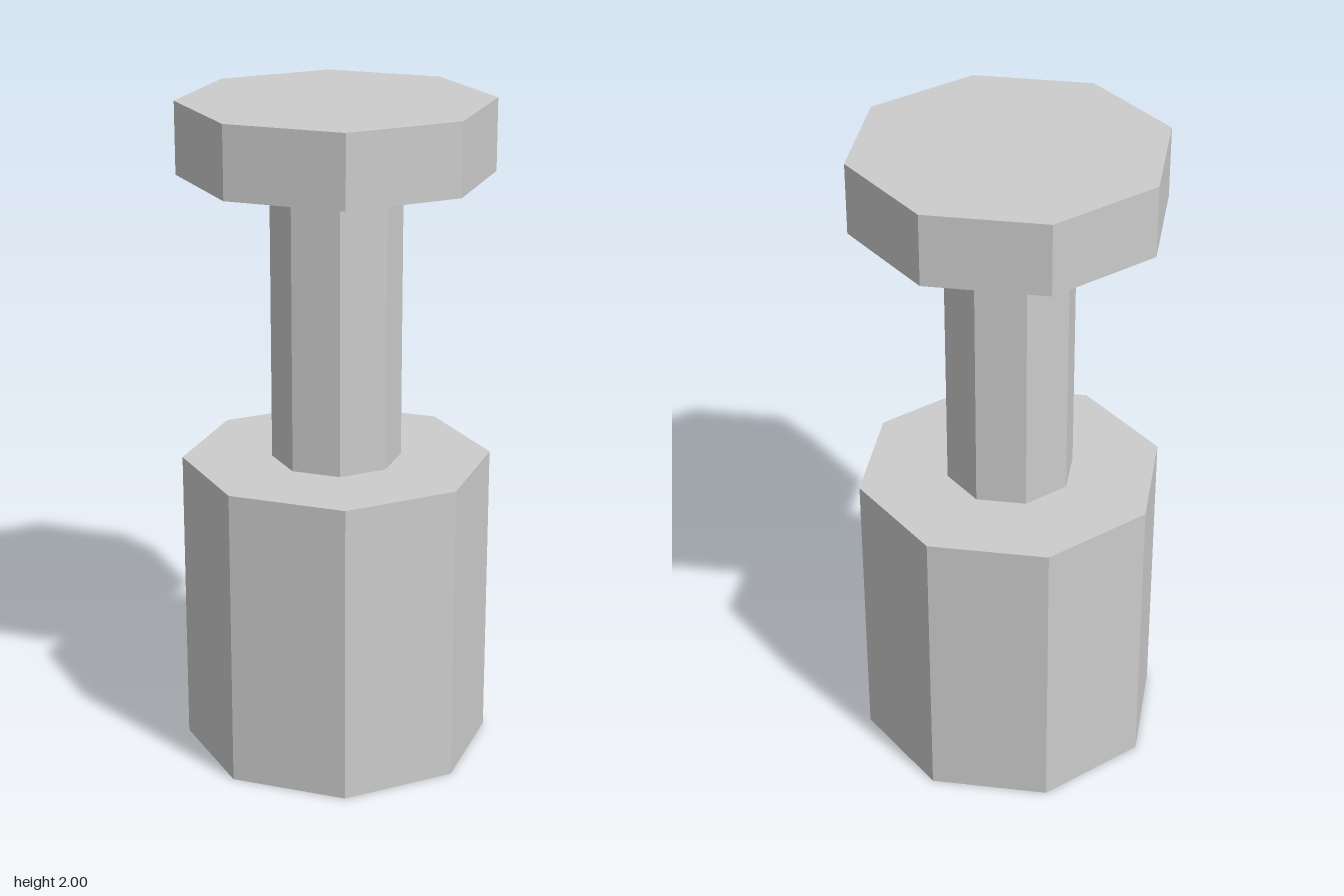
import * as THREE from 'three';

export function createModel() {
  const group = new THREE.Group();
  const material = new THREE.MeshStandardMaterial({ color: 0xcccccc, flatShading: true });

  // Eight-sided prism standing between two heights, corners on the x and z axes
  function addPrism(name, radius, bottom, top) {
    const mesh = new THREE.Mesh(new THREE.CylinderGeometry(radius, radius, top - bottom, 8), material);
    mesh.position.y = (bottom + top) / 2;
    mesh.name = name;
    group.add(mesh);
  }

  addPrism('base', 0.465, 0, 0.917);
  addPrism('stem', 0.195, 0.917, 1.785);
  addPrism('head', 0.465, 1.785, 2);

  return group;
}
